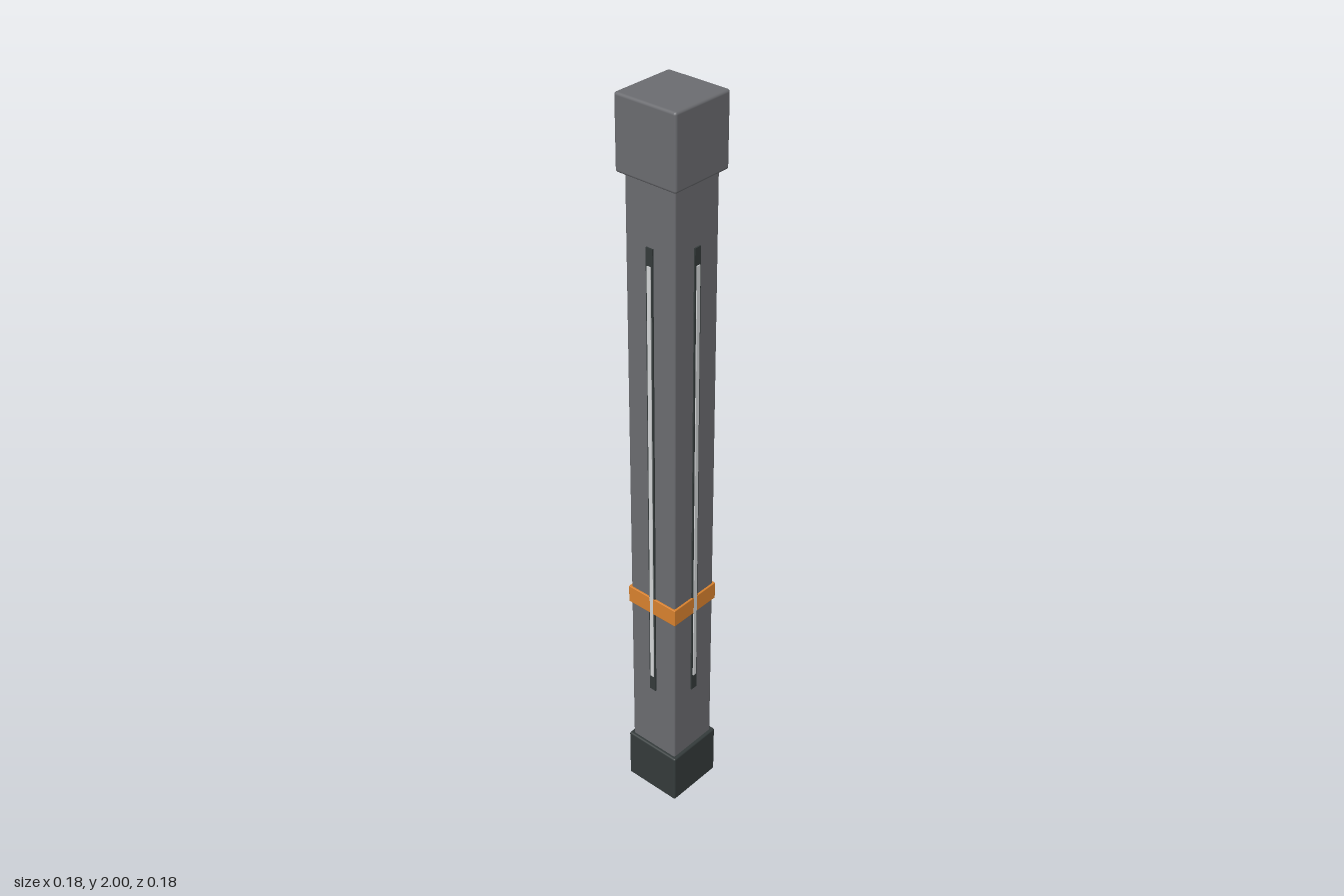
import * as THREE from 'three';
import { RoundedBoxGeometry } from 'three/addons/geometries/RoundedBoxGeometry.js';

const material = (name, color) => {
  const m = new THREE.MeshStandardMaterial({ color });
  m.name = name;
  return m;
};

export function createModel() {
  const group = new THREE.Group();
  const casing = material('casing grey', 0x6b6c70);
  const rubber = material('dark rubber', 0x343b3b);
  const orange = material('orange', 0xd9822e);
  const light = material('pale light', 0xd4d6d8);

  // Square section standing between two heights
  const block = (name, width, y0, y1, radius, mat) => {
    const mesh = new THREE.Mesh(new RoundedBoxGeometry(width, y1 - y0, width, 2, radius), mat);
    mesh.position.y = (y0 + y1) / 2;
    mesh.name = name;
    group.add(mesh);
  };
  block('base', 0.166, 0, 0.15, 0.005, rubber);
  block('shaft', 0.148, 0.13, 1.83, 0.005, casing);
  block('topCap', 0.178, 1.815, 2, 0.007, casing);
  block('band', 0.158, 0.612, 0.662, 0.002, orange);

  // Recess plate and light strip on each of the four sides
  for (let i = 0; i < 4; i++) {
    const side = new THREE.Group();
    side.name = 'lightSlot' + (i + 1);
    side.rotation.y = i * Math.PI / 2;
    const plate = (name, width, y0, y1, z0, z1, mat) => {
      const mesh = new THREE.Mesh(new THREE.BoxGeometry(width, y1 - y0, z1 - z0), mat);
      mesh.position.set(0, (y0 + y1) / 2, (z0 + z1) / 2);
      mesh.name = name;
      side.add(mesh);
    };
    plate('slotPlate', 0.02, 0.352, 1.655, 0.07, 0.0775, rubber);
    plate('lightStrip', 0.011, 0.4, 1.61, 0.073, 0.0798, light);
    group.add(side);
  }
  return group;
}
